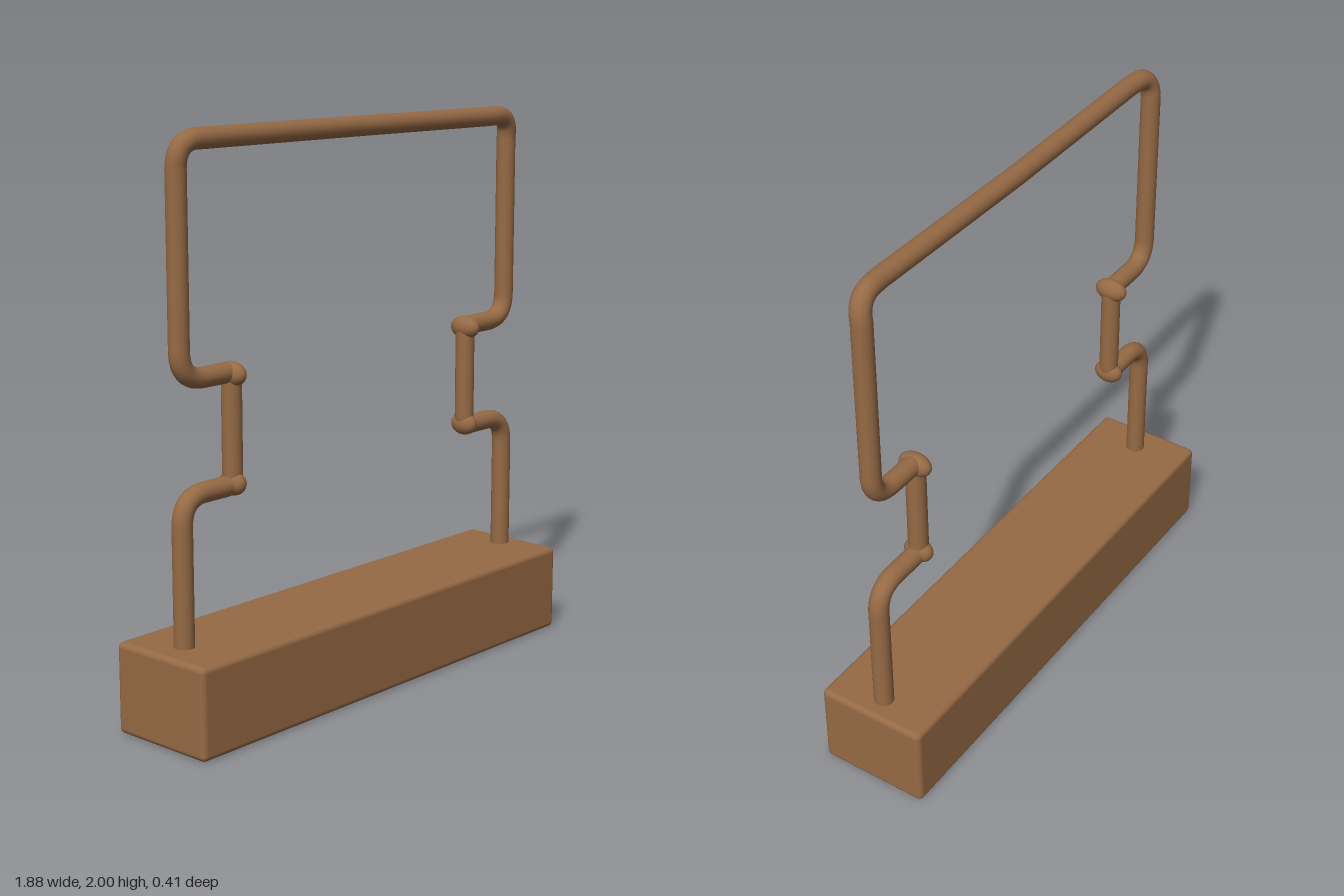
import * as THREE from 'three';
import { RoundedBoxGeometry } from 'three/addons/geometries/RoundedBoxGeometry.js';

const R = 0.035; // pipe radius
const V = (x, y, z = 0) => new THREE.Vector3(x, y, z);

// Straight runs joined by rounded bends; each point is [position, bend size]
function bentPath(points) {
  const path = new THREE.CurvePath();
  let last = points[0][0];
  for (let i = 1; i < points.length; i++) {
    const [p, bend] = points[i];
    if (i === points.length - 1 || !bend) {
      path.add(new THREE.LineCurve3(last, p));
      last = p;
      continue;
    }
    const toward = (q) => p.clone().add(q.clone().sub(p).setLength(bend));
    const a = toward(points[i - 1][0]);
    const b = toward(points[i + 1][0]);
    path.add(new THREE.LineCurve3(last, a));
    path.add(new THREE.QuadraticBezierCurve3(a, p, b));
    last = b;
  }
  return path;
}

export function createModel() {
  const group = new THREE.Group();
  const brown = new THREE.MeshStandardMaterial({ color: 0x966a45 });
  brown.name = 'brown';

  const add = (name, geometry, x = 0, y = 0, z = 0) => {
    const mesh = new THREE.Mesh(geometry, brown);
    mesh.name = name;
    mesh.position.set(x, y, z);
    group.add(mesh);
    return mesh;
  };

  // Solid block base
  add('base', new RoundedBoxGeometry(1.876, 0.318, 0.41, 4, 0.02), -0.002, 0.159, 0);

  // One continuous pipe: post, notch, post, top bar and back down
  const cx = 0.0125;
  const outer = 0.838;
  const inner = 0.608;
  const side = (s) => [
    [V(cx + s * outer, 0.28), 0],
    [V(cx + s * outer, 0.82), 0.1],
    [V(cx + s * inner, 0.82), 0.03],
    [V(cx + s * inner, 1.2), 0.03],
    [V(cx + s * outer, 1.2), 0.1],
    [V(cx + s * outer, 1.88), 0],
    [V(cx + s * outer, 1.964, 0.01), 0.08],
    [V(cx + s * 0.72, 1.964, 0.018), 0],
  ];
  const path = bentPath([...side(-1), [V(cx, 1.964, 0.01), 0], ...side(1).reverse()]);
  add('pipeFrame', new THREE.TubeGeometry(path, 400, R, 20, false));

  // Flared knuckles at the tight inner corners
  for (const s of [-1, 1]) {
    for (const [y, depth] of [[0.827, 0.055], [1.193, 0.062]]) {
      const knuckle = add('cornerKnuckle', new THREE.SphereGeometry(1, 20, 14), cx + s * inner, y, 0);
      knuckle.scale.set(0.036, 0.042, depth);
    }
  }

  return group;
}
